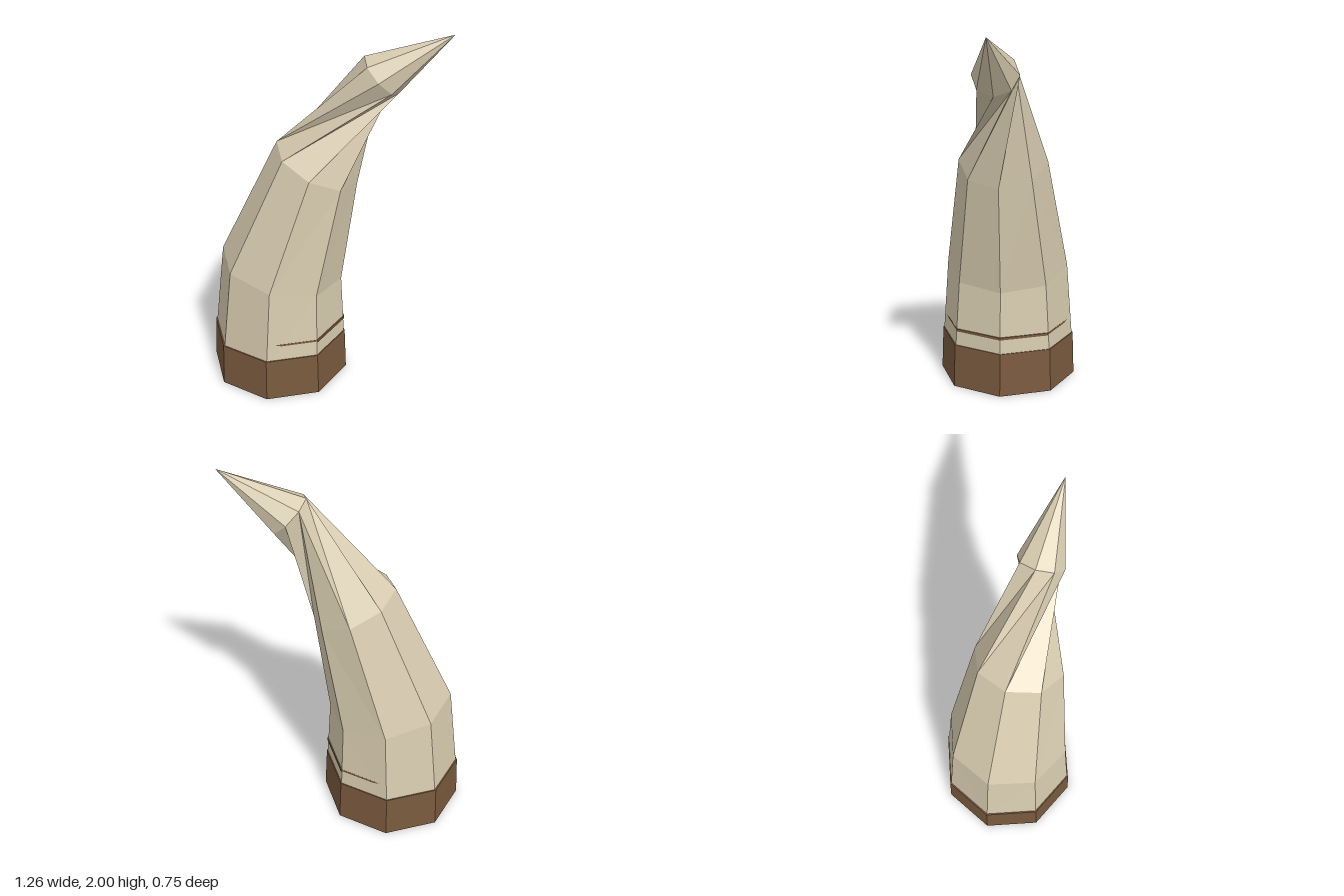
import * as THREE from 'three';

const SIDES = 8;

// Tilted rings up the horn: centre x, y; half extent along x, its rise; half depth; twist in steps
const RINGS = [
  [-0.254, 0.2, 0.363, 0, 0.363, 0],
  [-0.235, 0.645, 0.325, -0.065, 0.33, 0],
  [-0.04, 1.27, 0.21, -0.1, 0.235, 0],
  [0.2825, 1.7725, 0.0875, -0.0925, 0.12, 2],
];
const TIP = [0.63, 2, 0];

function ringPoint([cx, cy, dx, dy, rz, twist], i) {
  const a = ((i + twist) / SIDES) * Math.PI * 2;
  return [cx - dx * Math.cos(a), cy - dy * Math.cos(a), rz * Math.sin(a)];
}

// Eight-sided curved horn whose last section is twisted a quarter turn
function hornGeometry() {
  const pos = [];
  const tri = (...pts) => pts.forEach((p) => pos.push(...p));
  for (let r = 0; r < RINGS.length; r++) {
    for (let i = 0; i < SIDES; i++) {
      const a = ringPoint(RINGS[r], i);
      const b = ringPoint(RINGS[r], i + 1);
      if (r === RINGS.length - 1) {
        tri(a, b, TIP);
        continue;
      }
      const c = ringPoint(RINGS[r + 1], i + 1);
      const d = ringPoint(RINGS[r + 1], i);
      // The crease direction changes around the twisted section
      if (i < 5) {
        tri(a, b, c);
        tri(a, c, d);
      } else {
        tri(a, b, d);
        tri(b, c, d);
      }
    }
  }
  const geo = new THREE.BufferGeometry();
  geo.setAttribute('position', new THREE.Float32BufferAttribute(pos, 3));
  geo.computeVertexNormals();
  return geo;
}

export function createModel() {
  const group = new THREE.Group();
  group.name = 'horn';

  const bone = new THREE.MeshStandardMaterial({ color: 0xd8ccb0, flatShading: true });
  bone.name = 'bone';
  const leather = new THREE.MeshStandardMaterial({ color: 0x7a5a3e, flatShading: true });
  leather.name = 'brown leather';

  const add = (name, geo, mat, x = 0, y = 0) => {
    const mesh = new THREE.Mesh(geo, mat);
    mesh.name = name;
    mesh.position.set(x, y, 0);
    group.add(mesh);
  };

  add('hornBody', hornGeometry(), bone);
  // Tapered cuff around the foot
  add('baseCuff', new THREE.CylinderGeometry(0.366, 0.375, 0.24, SIDES), leather, -0.254, 0.12);
  // Thin band that only breaks the surface on the inner side of the curve
  add('thinBand', new THREE.CylinderGeometry(0.349, 0.349, 0.014, SIDES), leather, -0.24, 0.327);

  return group;
}
